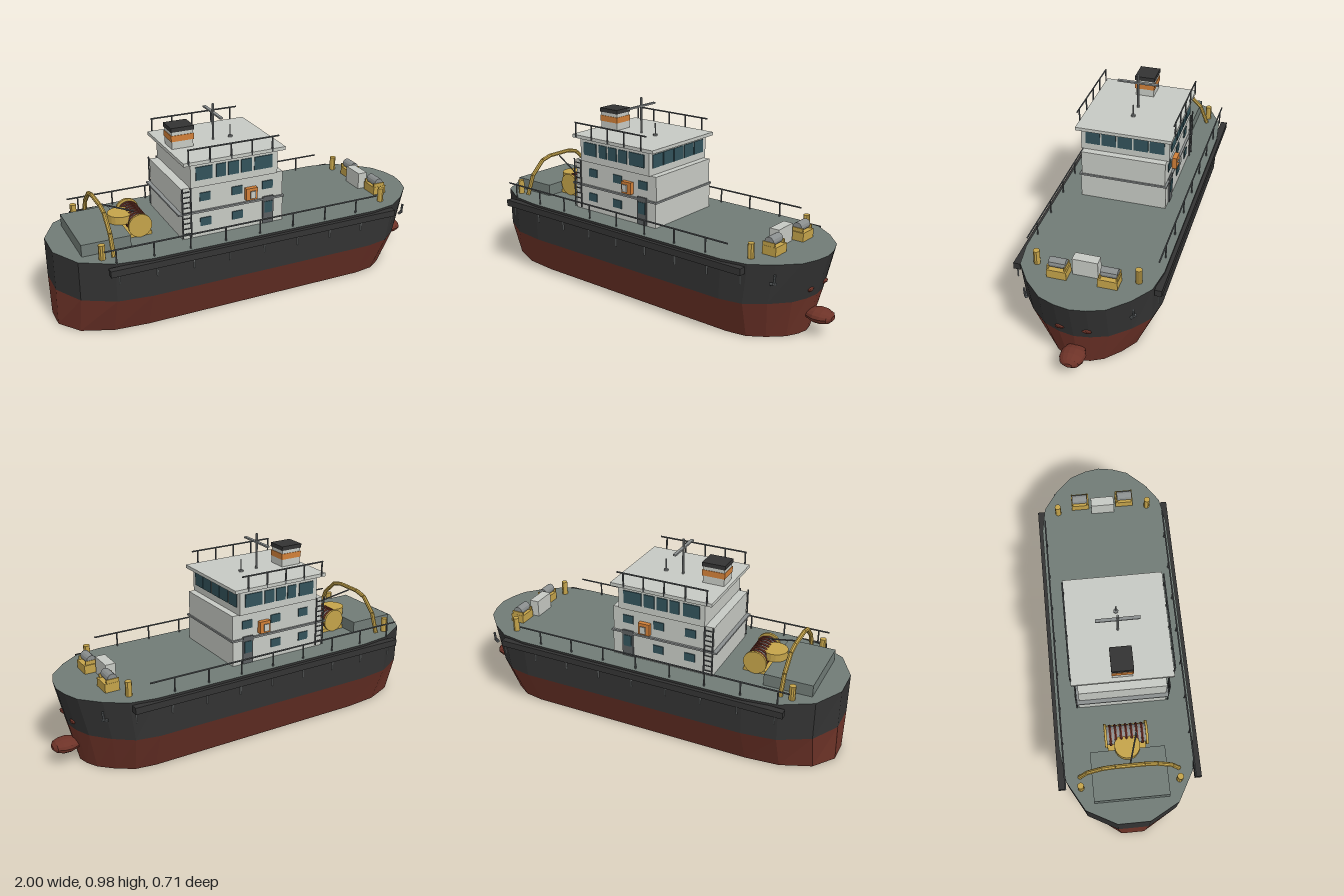
import * as THREE from 'three';

const mat = (name, color, side = THREE.FrontSide) => {
  const m = new THREE.MeshStandardMaterial({ color, side, flatShading: true });
  m.name = name;
  return m;
};

export function createModel() {
  const model = new THREE.Group();
  model.name = 'workBoat';
  const black = mat('hullBlack', 0x333333), red = mat('antifoulingRed', 0x6e3328);
  const deckGreen = mat('deckGreen', 0x707b76), white = mat('houseWhite', 0xc6c9c3);
  const glass = mat('windowTeal', 0x32525a), orange = mat('orange', 0xd07f38);
  const yellow = mat('yellow', 0xc4a34a), grey = mat('steelGrey', 0x8a8e8e);
  const dark = mat('darkSteel', 0x5a5e60);

  const add = (name, geo, material, parent = model) => {
    const m = new THREE.Mesh(geo, material);
    m.name = name;
    parent.add(m);
    return m;
  };
  // Box given by its limits on each axis
  const box = (name, m, x0, x1, y0, y1, z0, z1) => {
    const b = add(name, new THREE.BoxGeometry(x1 - x0, y1 - y0, z1 - z0), m);
    b.position.set((x0 + x1) / 2, (y0 + y1) / 2, (z0 + z1) / 2);
    return b;
  };
  // Round bar between two points
  const bar = (name, m, a, b, r, sides = 6) => {
    const p = new THREE.Vector3(...a), q = new THREE.Vector3(...b);
    const c = add(name, new THREE.CylinderGeometry(r, r, p.distanceTo(q), sides), m);
    c.position.copy(p).add(q).multiplyScalar(0.5);
    c.quaternion.setFromUnitVectors(new THREE.Vector3(0, 1, 0), q.sub(p).normalize());
    return c;
  };

  // Hull: one half outline at deck level, narrowed and raked by height
  const half = [[-1, 0.08], [-0.92, 0.23], [-0.77, 0.315], [-0.6, 0.337], [0.6, 0.337],
    [0.73, 0.315], [0.83, 0.245], [0.915, 0.155], [0.945, 0.075]];
  const outline = [...half, [0.957, 0], ...half.slice().reverse().map(([x, z]) => [x, -z])];
  const ring = (y, zScale) => outline.map(([x, z]) => {
    const rake = THREE.MathUtils.clamp((x - 0.5) / 0.4, 0, 1) * 0.092 * (1 - y / 0.4);
    return [x - rake, y, z * zScale];
  });
  const surface = (name, tris, m) => {
    const g = new THREE.BufferGeometry();
    g.setAttribute('position', new THREE.Float32BufferAttribute(tris.flat(), 3));
    g.computeVertexNormals();
    add(name, g, m);
  };
  const band = (lo, hi) => lo.flatMap((p, i) => {
    const j = (i + 1) % lo.length;
    return [p, lo[j], hi[j], p, hi[j], hi[i]];
  });
  const cap = (r, up) => r.flatMap((p, i) => {
    const n = r[(i + 1) % r.length], c = [0, p[1], 0];
    return up ? [c, p, n] : [c, n, p];
  });
  const keel = ring(0, 0.725), water = ring(0.2, 0.978), edge = ring(0.4, 1);
  surface('lowerHull', band(keel, water), red);
  surface('upperHull', band(water, edge), black);
  surface('deck', cap(edge, true), deckGreen);
  surface('hullBottom', cap(keel, false), black);

  // Bulb at the bow
  const bulbProfile = [[0, -0.07], [0.025, -0.06], [0.035, -0.02], [0.034, 0.015], [0.026, 0.045],
    [0.011, 0.06], [0, 0.061]].map(p => new THREE.Vector2(...p));
  const bulb = add('bowBulb', new THREE.LatheGeometry(bulbProfile, 14).rotateZ(-Math.PI / 2), red);
  bulb.scale.z = 1.7;
  bulb.position.set(0.939, 0.1, 0);

  // Deckhouse tiers and slabs
  box('lowerHouse', white, -0.405, 0.13, 0.4, 0.53, -0.22, 0.22);
  box('houseLedge', grey, -0.425, 0.137, 0.526, 0.535, -0.226, 0.226);
  box('upperHouse', white, -0.405, 0.13, 0.535, 0.66, -0.215, 0.215);
  box('wheelhouse', white, -0.36, 0.095, 0.66, 0.782, -0.226, 0.226);
  box('wheelhouseRoof', white, -0.4, 0.13, 0.78, 0.797, -0.243, 0.243);

  // Front wheelhouse windows
  for (let i = -2; i <= 2; i++) {
    box('frontWindow', glass, 0.094, 0.099, 0.695, 0.762, i * 0.082 - 0.037, i * 0.082 + 0.037);
  }

  // Everything repeated on both sides
  const sidePanes = [[-0.335, -0.25], [-0.23, -0.18], [-0.168, -0.113], [-0.1, -0.045], [-0.03, 0.065]];
  for (const s of [1, -1]) {
    const plate = (name, m, x0, x1, y0, y1, z, t = 0.005) =>
      box(name, m, x0, x1, y0, y1, s > 0 ? z - 0.001 : -z - t, s > 0 ? z + t : -z + 0.001);
    for (const [a, b] of sidePanes) plate('sideWindow', glass, a, b, 0.697, 0.763, 0.226);
    for (const x of [-0.285, -0.118, 0.047]) {
      plate('upperPorthole', glass, x - 0.028, x + 0.028, 0.583, 0.625, 0.215);
      if (x < 0) plate('lowerPorthole', glass, x - 0.028, x + 0.028, 0.455, 0.497, 0.22);
    }
    plate('sideDoor', dark, 0.018, 0.076, 0.403, 0.545, 0.221, 0.007);
    plate('doorWindow', glass, 0.026, 0.068, 0.46, 0.52, 0.228, 0.003);
    // Life raft box
    plate('raftBox', orange, -0.076, -0.016, 0.547, 0.608, 0.212, 0.026);
    plate('raftPlate', white, -0.06, -0.032, 0.56, 0.597, 0.247, 0.005);
    plate('raftBracket', grey, -0.052, -0.04, 0.572, 0.584, 0.235, 0.013);

    // Ladder
    for (const x of [-0.405, -0.362]) bar('ladderRail', dark, [x, 0.41, s * 0.229], [x, 0.665, s * 0.229], 0.004);
    for (let i = 0; i < 9; i++) {
      const y = 0.43 + i * 0.027;
      bar('ladderRung', dark, [-0.405, y, s * 0.229], [-0.362, y, s * 0.229], 0.003);
    }

    // Deck and roof railings
    bar('deckRail', dark, [-0.82, 0.472, s * 0.317], [0.625, 0.472, s * 0.317], 0.004);
    for (let i = 0; i < 8; i++) {
      const x = -0.765 + i * 0.181;
      bar('deckRailPost', dark, [x, 0.4, s * 0.317], [x, 0.472, s * 0.317], 0.004);
    }
    bar('roofRail', dark, [-0.38, 0.86, s * 0.243], [0.092, 0.86, s * 0.243], 0.004);
    for (const x of [-0.375, -0.267, -0.158, -0.05, 0.058]) {
      bar('roofRailPost', dark, [x, 0.785, s * 0.243], [x, 0.86, s * 0.243], 0.004);
    }

    // Side fender with hanging chains
    plate('sideFender', black, -0.805, 0.72, 0.355, 0.388, 0.322, 0.033);
    for (let i = 0; i < 9; i++) {
      const x = -0.762 + i * 0.184;
      bar('fenderChain', grey, [x, 0.305, s * 0.339], [x, 0.356, s * 0.339], 0.004);
    }

    // Anchor
    bar('anchorShank', dark, [0.832, 0.31, s * 0.256], [0.838, 0.358, s * 0.256], 0.006);
    bar('anchorFluke', dark, [0.815, 0.312, s * 0.262], [0.842, 0.312, s * 0.246], 0.008);

    // Red mark on the bow
    const mark = add('bowMark', new THREE.SphereGeometry(1, 10, 6), red);
    mark.scale.set(0.012, 0.012, 0.027);
    mark.rotation.y = s * 0.2;
    mark.position.set(0.909, 0.245, s * 0.06);

    // Bollards
    for (const x of [0.7, -0.81]) {
      bar('bollard', yellow, [x, 0.4, s * 0.243], [x, 0.473, s * 0.243], 0.016, 10);
    }

    // Bow windlass
    plate('windlassBase', yellow, 0.71, 0.782, 0.4, 0.443, 0.074, 0.093);
    bar('windlassDrum', grey, [0.742, 0.462, s * 0.082], [0.742, 0.462, s * 0.162], 0.024, 12);
    for (const z of [0.08, 0.16]) {
      plate('windlassCheek', yellow, 0.71, 0.774, 0.44, 0.462, z, 0.006);
    }
  }
  box('bowLocker', white, 0.68, 0.73, 0.4, 0.487, -0.061, 0.061);

  // Funnel
  box('funnel', white, -0.38, -0.27, 0.797, 0.885, -0.048, 0.048);
  box('funnelBand', orange, -0.383, -0.267, 0.835, 0.865, -0.051, 0.051);
  box('funnelCap', black, -0.384, -0.266, 0.883, 0.904, -0.052, 0.052);

  // Mast and antenna
  bar('mast', grey, [-0.145, 0.797, 0], [-0.145, 0.98, 0], 0.006, 8);
  box('mastYard', grey, -0.153, -0.137, 0.932, 0.94, -0.105, 0.105);
  bar('antenna', grey, [-0.053, 0.797, 0], [-0.053, 0.86, 0], 0.003);
  bar('antennaFoot', grey, [-0.053, 0.797, 0], [-0.053, 0.805, 0], 0.012, 8);

  // Aft hatch, stern gantry and tow winch
  box('aftHatch', deckGreen, -0.89, -0.65, 0.4, 0.46, -0.185, 0.185);
  const gantry = [[0.4, -0.245], [0.5, -0.205], [0.57, -0.13], [0.585, -0.07], [0.585, 0.07],
    [0.57, 0.13], [0.5, 0.205], [0.4, 0.245]];
  for (let i = 1; i < gantry.length; i++) {
    bar('gantryBeam', yellow, [-0.755, ...gantry[i - 1]], [-0.755, ...gantry[i]], 0.011, 8);
  }
  bar('towCable', dark, [-0.755, 0.57, 0], [-0.585, 0.515, 0.05], 0.004);
  bar('winchTurntable', yellow, [-0.64, 0.46, 0], [-0.64, 0.5, 0], 0.063, 18);
  box('winchBase', yellow, -0.645, -0.515, 0.4, 0.418, -0.095, 0.095);
  bar('winchDrum', grey, [-0.575, 0.46, -0.1], [-0.575, 0.46, 0.1], 0.046, 16);
  for (let i = 0; i < 7; i++) {
    const coil = add('ropeCoil', new THREE.TorusGeometry(0.047, 0.007, 6, 18), red);
    coil.position.set(-0.575, 0.46, -0.078 + i * 0.026);
  }
  for (const s of [1, -1]) {
    bar('winchFlange', yellow, [-0.575, 0.46, s * 0.095], [-0.575, 0.46, s * 0.107], 0.059, 20);
  }
  return model;
}
